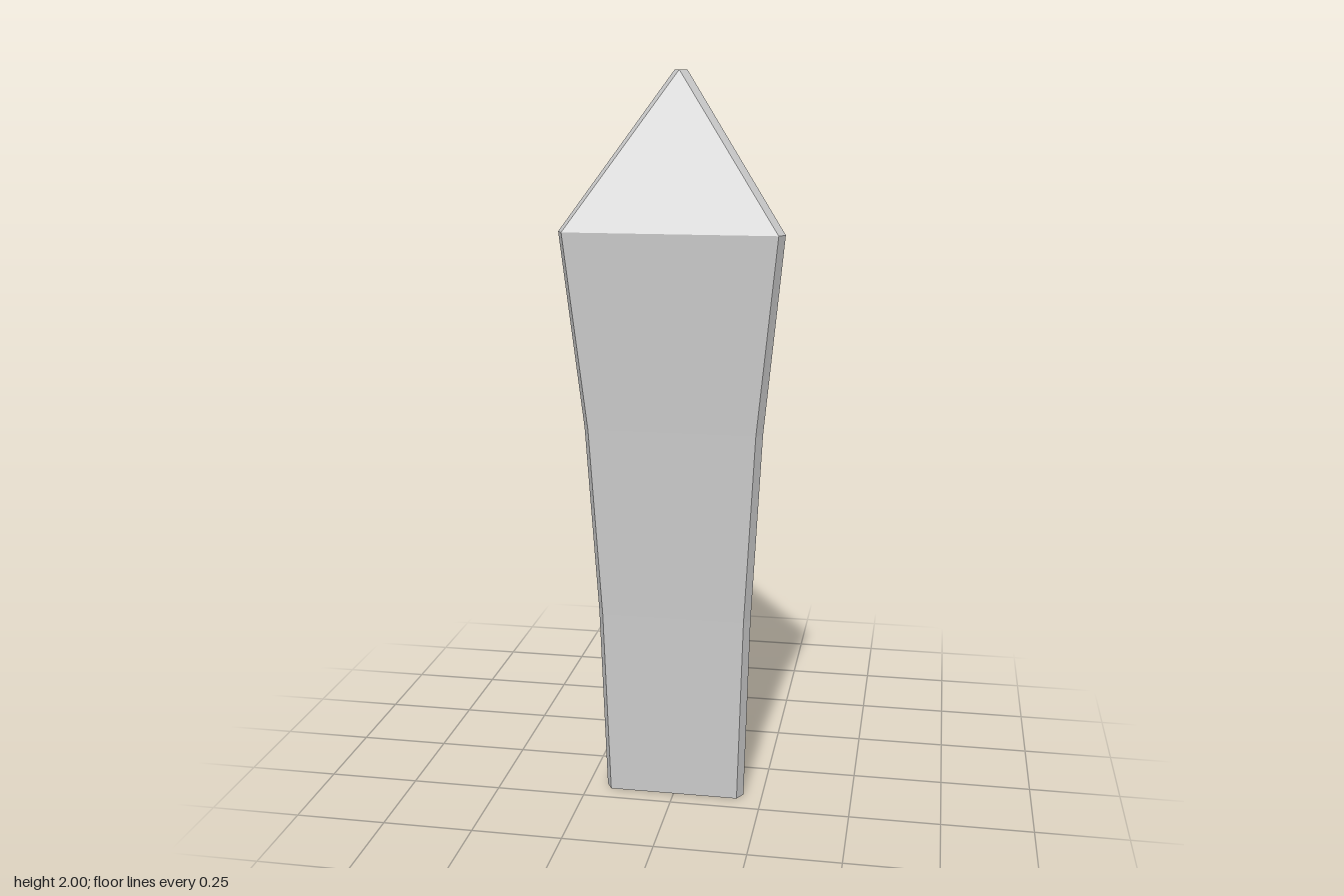
import * as THREE from 'three';

// Chamfered triangular section: front corners, side corners, back corners.
function section(y, frontX, frontZ, sideX, sideZ, backX, backZ) {
  return [
    [frontX, frontZ], [sideX, sideZ], [backX, backZ],
    [-backX, backZ], [-sideX, sideZ], [-frontX, frontZ],
  ].map(([x, z]) => new THREE.Vector3(x, y, z));
}

// Joins the sections with flat faces and closes both ends.
function loft(sections) {
  const points = [];
  const tri = new THREE.Triangle();
  const add = (a, b, c) => {
    tri.set(a, b, c);
    if (tri.getArea() > 1e-7) points.push(a, b, c); // skip collapsed corners
  };
  for (let s = 0; s < sections.length - 1; s++) {
    const low = sections[s], high = sections[s + 1];
    for (let i = 0; i < 6; i++) {
      const j = (i + 1) % 6;
      add(low[i], low[j], high[j]);
      add(low[i], high[j], high[i]);
    }
  }
  const bottom = sections[0], top = sections[sections.length - 1];
  for (let i = 1; i < 5; i++) {
    add(bottom[0], bottom[i + 1], bottom[i]);
    add(top[0], top[i], top[i + 1]);
  }
  const geometry = new THREE.BufferGeometry().setFromPoints(points);
  geometry.computeVertexNormals();
  return geometry;
}

export function createModel() {
  const group = new THREE.Group();
  group.name = 'crystal';
  const material = new THREE.MeshStandardMaterial({ color: 0xcccccc, flatShading: true });

  // Shaft flares gently upwards, then closes to a small flat tip.
  const crystal = new THREE.Mesh(loft([
    section(0, 0.181, 0.198, 0.197, 0.17, 0.017, -0.135),
    section(0.53, 0.197, 0.206, 0.213, 0.178, 0.017, -0.155),
    section(1.06, 0.227, 0.222, 0.243, 0.194, 0.017, -0.193),
    section(1.59, 0.283, 0.251, 0.298, 0.223, 0.017, -0.253),
    section(2, 0, 0.092, 0.017, 0.065, 0.017, 0.065),
  ]), material);
  crystal.name = 'crystalShard';
  group.add(crystal);
  return group;
}
